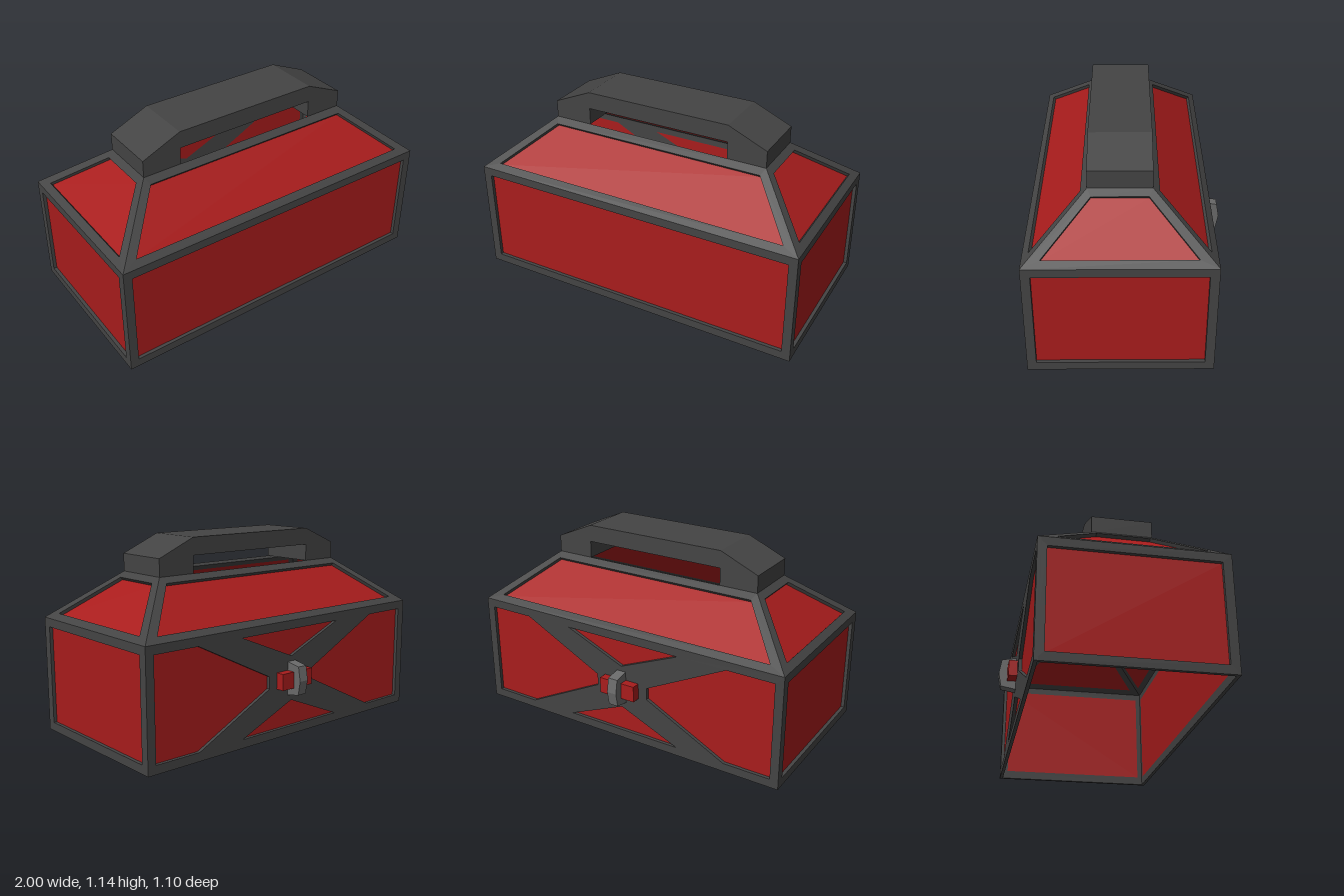
import * as THREE from 'three';

const frameMat = new THREE.MeshStandardMaterial({ color: 0x444444, flatShading: true, side: THREE.DoubleSide });
const panelMat = new THREE.MeshStandardMaterial({ color: 0xa81c1c, flatShading: true, side: THREE.DoubleSide });
const latchMat = new THREE.MeshStandardMaterial({ color: 0x6a6a6a, flatShading: true });

const SHEET = 0.02;                     // thickness of the frames
const WALL_TOP = 0.67, ROOF_TOP = 0.94, ROOF_RUN = 0.33;
const SLOPE = Math.hypot(ROOF_RUN, ROOF_TOP - WALL_TOP);
const TILT = Math.atan2(ROOF_RUN, ROOF_TOP - WALL_TOP);

const toShape = (points) => new THREE.Shape(points.map(([x, y]) => new THREE.Vector2(x, y)));
const mirror = (points) => points.map(([x, y]) => [-x, y]).reverse();
const trapezoid = (lower, y0, upper, y1) => [[-lower, y0], [lower, y0], [upper, y1], [-upper, y1]];

function addMesh(parent, name, geometry, material) {
  const mesh = new THREE.Mesh(geometry, material);
  mesh.name = name;
  parent.add(mesh);
  return mesh;
}

// A frame sheet with openings, each filled by a recessed panel; outside faces local +z
function framedFace(name, outline, openings) {
  const face = new THREE.Group();
  face.name = name;
  face.rotation.order = 'YXZ';
  const shape = toShape(outline);
  shape.holes = openings.map(toShape);
  const frame = new THREE.ExtrudeGeometry(shape, { depth: SHEET, bevelEnabled: false });
  addMesh(face, name + 'Frame', frame.translate(0, 0, -SHEET), frameMat);
  for (const opening of openings) {
    const panel = new THREE.ShapeGeometry(toShape(opening));
    addMesh(face, name + 'Panel', panel.translate(0, 0, -SHEET), panelMat);
  }
  return face;
}

export function createModel() {
  const model = new THREE.Group();
  model.name = 'toolbox';
  const body = new THREE.Group();
  body.name = 'body';
  body.position.z = 0.05;
  model.add(body);

  // Openings of the cross-braced back wall
  const sideOpening = [[0.17, 0.3], [0.67, 0.05], [0.95, 0.05], [0.95, 0.62], [0.67, 0.62], [0.17, 0.37]];
  const backOpenings = [
    sideOpening, mirror(sideOpening),
    [[-0.37, 0.62], [0, 0.465], [0.37, 0.62]],
    [[-0.37, 0.05], [0.37, 0.05], [0, 0.205]],
  ];

  // Four walls and four roof slopes; bottom and roof top stay open
  ['front', 'left', 'back', 'right'].forEach((side, i) => {
    const half = i % 2 ? 0.5 : 1, distance = i % 2 ? 1 : 0.5;
    const angle = i * Math.PI / 2;
    const x = Math.sin(angle) * distance, z = Math.cos(angle) * distance;

    const openings = side === 'back' ? backOpenings : [trapezoid(half - 0.05, 0.05, half - 0.05, 0.62)];
    const wall = framedFace(side + 'Wall', trapezoid(half, 0, half, WALL_TOP), openings);
    wall.position.set(x, 0, z);
    wall.rotation.y = angle;
    body.add(wall);

    const along = (y) => (y - WALL_TOP) / (ROOF_TOP - WALL_TOP) * SLOPE;
    const top = half - ROOF_RUN;
    const roof = framedFace(side + 'Roof', trapezoid(half, 0, top, SLOPE),
      [trapezoid(half - 0.1, along(0.7), top - 0.02, along(0.91))]);
    roof.position.set(x, WALL_TOP, z);
    roof.rotation.set(-TILT, angle, 0);
    body.add(roof);
  });

  // Carrying handle
  const halfHandle = [[0.44, 1.04], [0.44, 0.94], [0.67, 0.94], [0.67, 1.04], [0.44, 1.14]];
  const handle = new THREE.ExtrudeGeometry(toShape([...halfHandle, ...mirror(halfHandle)]),
    { depth: 0.34, bevelEnabled: false });
  addMesh(body, 'handle', handle.translate(0, 0, -0.17), frameMat);

  // Latch on the back: a cross bar under a faceted clasp
  addMesh(model, 'latchBar', new THREE.BoxGeometry(0.23, 0.095, 0.07), panelMat).position.set(0, 0.337, -0.465);
  const clasp = new THREE.ExtrudeGeometry(
    toShape([[0.43, 0.24], [0.45, 0.24], [0.535, 0.255], [0.55, 0.337], [0.535, 0.42], [0.45, 0.435], [0.43, 0.435]]),
    { depth: 0.06, bevelEnabled: false });
  addMesh(model, 'latchClasp', clasp.translate(0, 0, -0.03).rotateY(Math.PI / 2), latchMat);

  return model;
}
